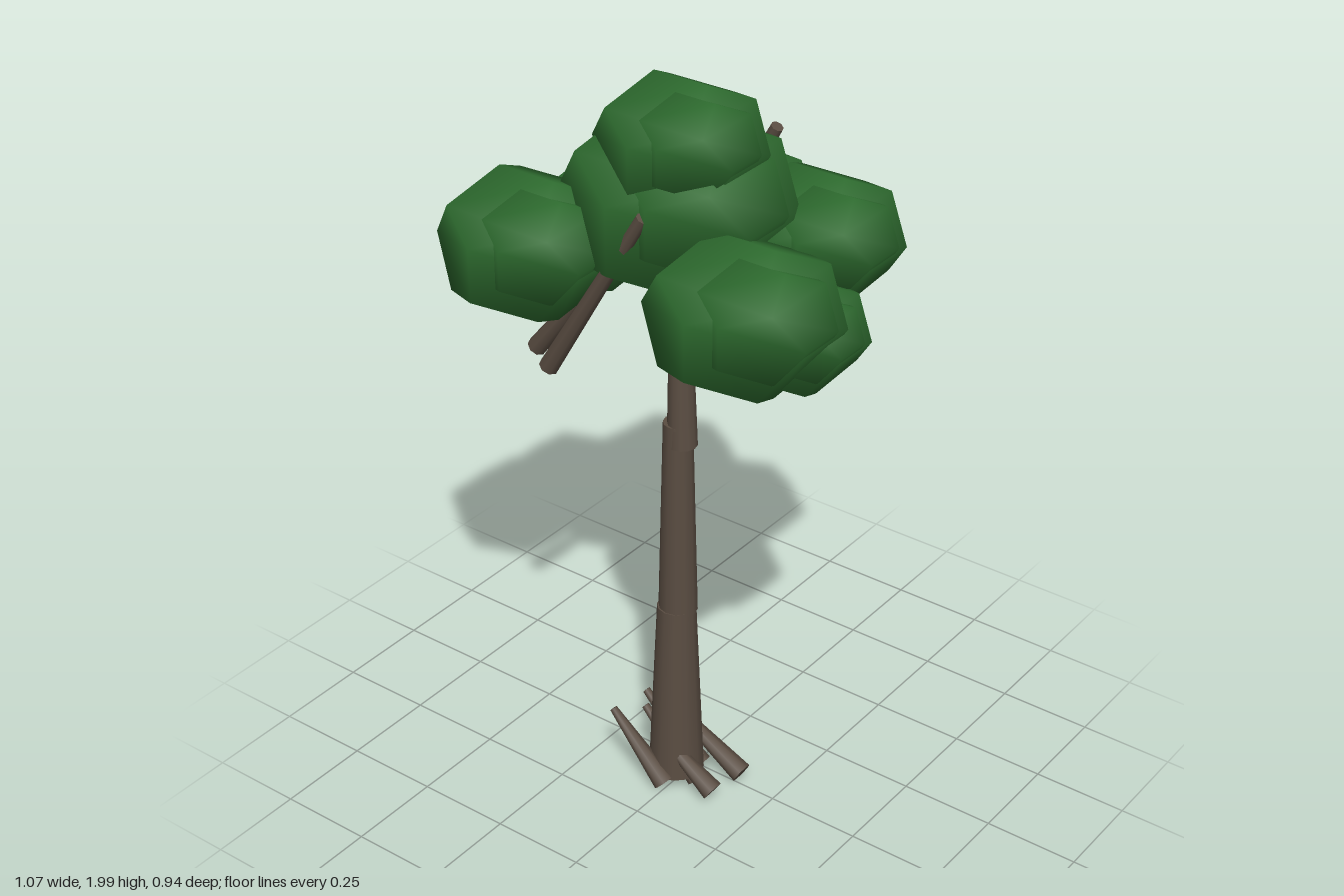
import * as THREE from 'three';
import { mergeVertices } from 'three/addons/utils/BufferGeometryUtils.js';

const bark = new THREE.MeshStandardMaterial({ color: 0x5a4d42 });
bark.name = 'bark brown';
const leaf = new THREE.MeshStandardMaterial({ color: 0x2d6a2e });
leaf.name = 'leaf green';

// Tapered stick from point a (radius ra) to point b (radius rb)
function stick(name, a, b, ra, rb, sides = 8) {
  const from = new THREE.Vector3(...a), to = new THREE.Vector3(...b);
  const dir = to.clone().sub(from);
  const mesh = new THREE.Mesh(new THREE.CylinderGeometry(rb, ra, dir.length(), sides), bark);
  mesh.position.copy(from).add(to).multiplyScalar(0.5);
  mesh.quaternion.setFromUnitVectors(new THREE.Vector3(0, 1, 0), dir.normalize());
  mesh.name = name;
  return mesh;
}

// Dodecahedron with unit half-width, flattened, with softened normals
function leafGeometry() {
  let geo = new THREE.DodecahedronGeometry(1.0705, 0);
  geo.deleteAttribute('uv');
  geo.deleteAttribute('normal');
  geo = mergeVertices(geo, 1e-3);
  geo.scale(1, 0.83, 1);
  geo.computeVertexNormals();
  return geo;
}

export function createModel() {
  const tree = new THREE.Group();
  tree.name = 'tree';

  // Trunk: three tapered, slightly offset segments
  const trunk = new THREE.Group();
  trunk.name = 'trunk';
  trunk.add(
    stick('trunkLower', [-0.013, 0.04, 0.065], [-0.01, 0.55, 0.065], 0.072, 0.05, 12),
    stick('trunkMiddle', [-0.008, 0.54, 0.062], [-0.002, 1.09, 0.067], 0.05, 0.037, 12),
    stick('trunkUpper', [0.01, 1.03, 0.066], [-0.003, 1.48, 0.055], 0.038, 0.025, 12)
  );
  tree.add(trunk);

  // Roots: slanted sticks, thick at the lower end
  const roots = new THREE.Group();
  roots.name = 'roots';
  [
    [0.0, 0.03, -0.165, 0.195, 0.135],
    [0.15, 0.045, -0.11, 0.19, 0.0],
    [0.06, 0.03, -0.11, 0.19, 0.07],
    [0.13, 0.04, -0.05, 0.16, 0.1],
    [0.03, 0.03, -0.15, 0.19, 0.015],
  ].forEach(([x0, y0, x1, y1, z]) =>
    roots.add(stick('root', [x0, y0, z], [x1, y1, z], 0.029, 0.01)));
  tree.add(roots);

  // Branches: parallel slanted sticks
  const branches = new THREE.Group();
  branches.name = 'branches';
  [
    [-0.205, 1.28, 0.08, 1.75, 0.3],
    [-0.365, 1.215, -0.1, 1.55, 0.155],
    [0.055, 1.24, 0.31, 1.6, -0.025],
    [0.09, 1.27, 0.33, 1.6, 0.07],
    [-0.16, 1.31, 0.105, 1.805, -0.175],
  ].forEach(([x0, y0, x1, y1, z]) =>
    branches.add(stick('branch', [x0, y0, z], [x1, y1, z], 0.025, 0.016)));
  tree.add(branches);

  // Foliage: clusters [x, y, z, half-width] of one large and two smaller lumps
  const foliage = new THREE.Group();
  foliage.name = 'foliage';
  const geo = leafGeometry();
  const lumps = [
    [0, 0, 0, 1],
    [0.35, 0.13, 0.19, 0.73],
    [-0.34, -0.1, -0.24, 0.65],
  ];
  [
    [0, 1.68, 0.064, 0.27],
    [0.03, 1.838, 0.095, 0.195],
    [-0.11, 1.503, -0.24, 0.232],
    [0.244, 1.58, -0.14, 0.2],
    [-0.365, 1.443, -0.06, 0.175],
    [-0.29, 1.56, 0.255, 0.213],
    [0.295, 1.542, 0.216, 0.222],
    [0.345, 1.462, 0.09, 0.168],
  ].forEach(([x, y, z, size]) => {
    const cluster = new THREE.Group();
    cluster.name = 'leafCluster';
    for (const [dx, dy, dz, s] of lumps) {
      const lump = new THREE.Mesh(geo, leaf);
      lump.name = 'leafLump';
      lump.position.set(dx, dy, dz);
      lump.scale.setScalar(s);
      cluster.add(lump);
    }
    cluster.position.set(x, y, z);
    cluster.scale.setScalar(size);
    foliage.add(cluster);
  });
  tree.add(foliage);

  return tree;
}
